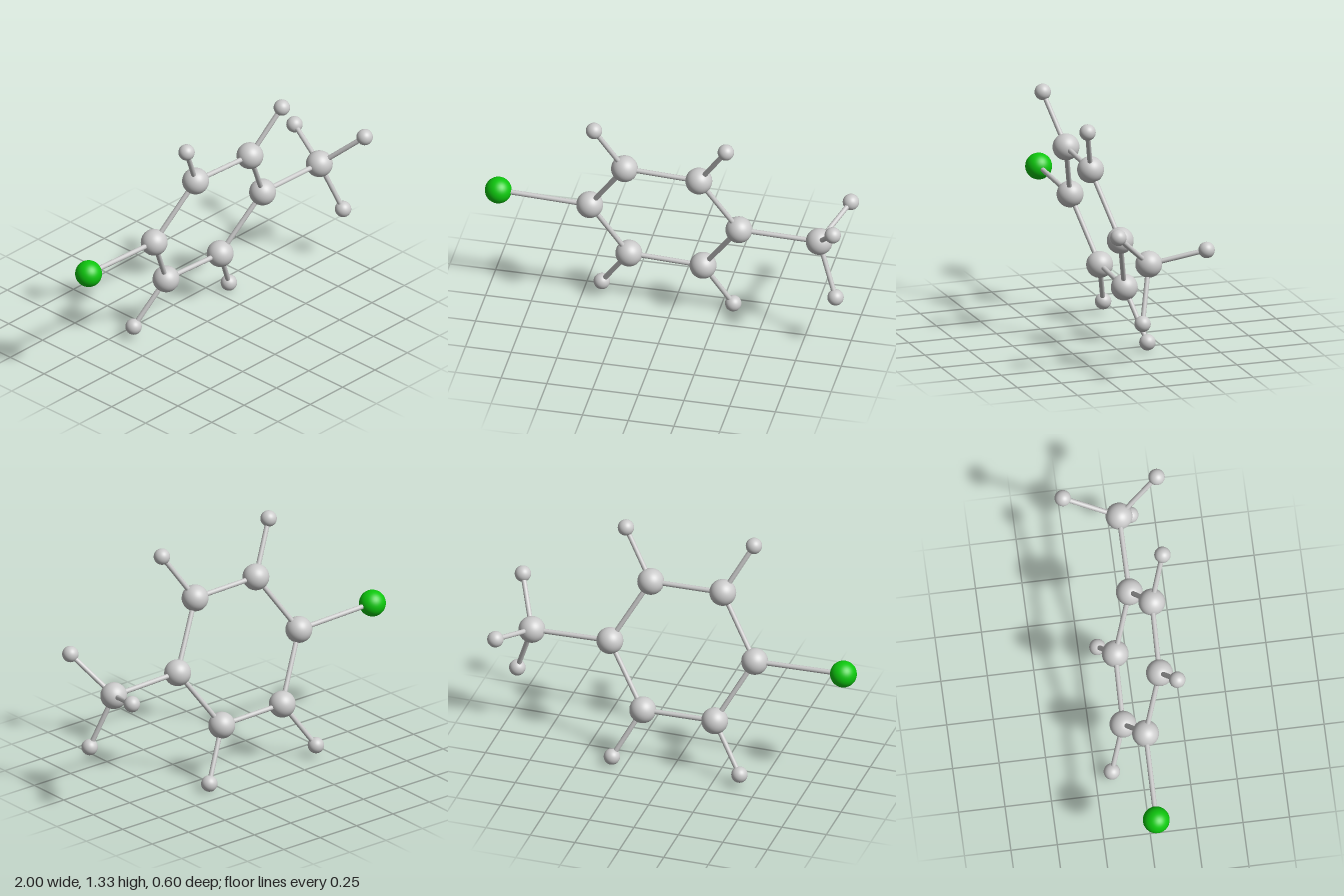
import * as THREE from 'three';

const BOND_RADIUS = 0.0135;

// name: [radius, x, y, z]
const BIG = 0.072, SMALL = 0.044;
const ATOMS = {
  greenAtom: [BIG, -0.928, 0.699, 0.01],
  ringCarbon1: [BIG, -0.427, 0.682, 0.016],
  ringCarbon2: [BIG, -0.214, 1.013, 0.118],
  ringCarbon3: [BIG, 0.195, 1.0, 0.129],
  ringCarbon4: [BIG, 0.393, 0.651, 0.033],
  ringCarbon5: [BIG, 0.174, 0.32, -0.071],
  ringCarbon6: [BIG, -0.234, 0.333, -0.081],
  methylCarbon: [BIG, 0.832, 0.639, 0.033],
  ringHydrogen2: [SMALL, -0.364, 1.286, 0.195],
  ringHydrogen3: [SMALL, 0.36, 1.26, 0.207],
  ringHydrogen5: [SMALL, 0.322, 0.046, -0.148],
  ringHydrogen6: [SMALL, -0.4, 0.075, -0.162],
  methylHydrogen1: [SMALL, 0.954, 0.841, 0.251],
  methylHydrogen2: [SMALL, 0.942, 0.719, -0.256],
  methylHydrogen3: [SMALL, 0.938, 0.343, 0.107],
};

export function createModel() {
  const model = new THREE.Group();
  const grey = new THREE.MeshStandardMaterial({ color: 0xcccccc });
  const green = new THREE.MeshStandardMaterial({ color: 0x0ec80e });
  const ball = new THREE.SphereGeometry(1, 40, 24);
  const position = (name) => new THREE.Vector3(...ATOMS[name].slice(1));

  // Atoms
  for (const name in ATOMS) {
    const atom = new THREE.Mesh(ball, name === 'greenAtom' ? green : grey);
    atom.name = name;
    atom.scale.setScalar(ATOMS[name][0]);
    atom.position.copy(position(name));
    model.add(atom);
  }

  // A rod from the centre of one atom to the centre of another
  const up = new THREE.Vector3(0, 1, 0);
  function addBond(from, to) {
    const a = position(from), b = position(to);
    const span = b.clone().sub(a);
    const rod = new THREE.Mesh(
      new THREE.CylinderGeometry(BOND_RADIUS, BOND_RADIUS, span.length(), 20), grey);
    rod.name = `bond ${from} to ${to}`;
    rod.position.copy(a).lerp(b, 0.5);
    rod.quaternion.setFromUnitVectors(up, span.normalize());
    model.add(rod);
  }

  // Six-sided ring
  for (let i = 1; i <= 6; i++) addBond(`ringCarbon${i}`, `ringCarbon${(i % 6) + 1}`);
  // Ring hydrogens
  for (const i of [2, 3, 5, 6]) addBond(`ringCarbon${i}`, `ringHydrogen${i}`);
  // End groups
  addBond('ringCarbon1', 'greenAtom');
  addBond('ringCarbon4', 'methylCarbon');
  for (let i = 1; i <= 3; i++) addBond('methylCarbon', `methylHydrogen${i}`);

  return model;
}
